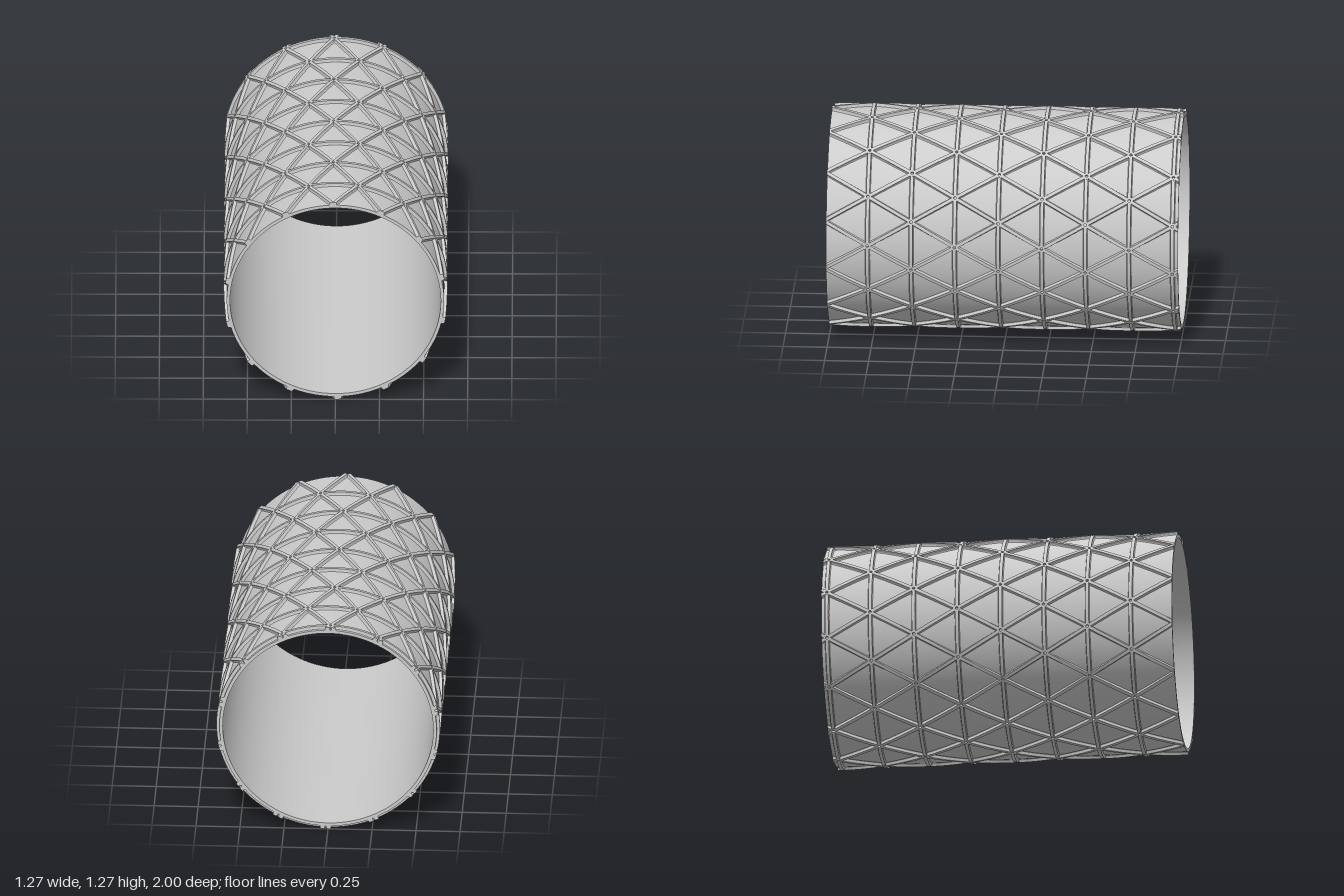
import * as THREE from 'three';
import { mergeGeometries, toCreasedNormals } from 'three/addons/utils/BufferGeometryUtils.js';

const R = 0.635;        // outer radius, top of ribs
const FLOOR = 0.617;    // outer radius of the skin
const INNER = 0.598;    // bore radius
const COUNT = 14;       // nodes around each ring
const STEP = (Math.PI * 2) / COUNT;
const PITCH = 0.2475;   // distance between rings
const START = 1.012;    // z of the first (cut off) node row
const ROWS = 8;
const OFFSET = -0.021;  // angle of the first node, measured from the top
const TRIM = 0.011;     // ribs stop here, inside the hubs

// Rib cross-section: offset across the rib, radius; filleted foot
const PROFILE = [
  [-0.015, FLOOR - 0.002], [-0.0105, FLOOR + 0.004], [-0.0095, R],
  [0.0095, R], [0.0105, FLOOR + 0.004], [0.015, FLOOR - 0.002],
];

const rowZ = (k) => START - PITCH * k;
const nodeAngle = (k, i) => OFFSET + STEP * (i + (k % 2) / 2);

// Sweep the rib section over the cylinder; place(t, s) returns [angle, z]
function rib(place, steps) {
  const pos = [], index = [], n = PROFILE.length;
  for (let j = 0; j <= steps; j++) {
    for (const [s, r] of PROFILE) {
      const [a, z] = place(j / steps, s);
      pos.push(r * Math.sin(a), r * Math.cos(a), z);
    }
  }
  for (let j = 0; j < steps; j++) {
    for (let i = 0; i < n - 1; i++) {
      const a = j * n + i, b = a + 1, c = a + n, d = c + 1;
      index.push(a, b, c, b, d, c);
    }
  }
  const e = steps * n;
  for (let i = 1; i < n - 1; i++) {
    index.push(0, i + 1, i, e, e + i, e + i + 1);
  }
  const g = new THREE.BufferGeometry();
  g.setAttribute('position', new THREE.Float32BufferAttribute(pos, 3));
  g.setIndex(index);
  return toCreasedNormals(g, 0.4);
}

// Ring rib between two neighbouring nodes
function ringRib(k, i) {
  const a0 = nodeAngle(k, i) + TRIM / R;
  const sweep = STEP - (2 * TRIM) / R;
  return rib((t, s) => [a0 + sweep * t, rowZ(k) + s], 6);
}

// Helical rib from a node to the next row, cut square at the tube ends
function diagonalRib(k, i, dir) {
  const zA = Math.min(1, rowZ(k) - TRIM);
  const zB = Math.max(-1, rowZ(k + 1) + TRIM);
  const widen = 1 / (Math.cos(Math.PI / 6) * R);
  return rib((t, s) => {
    const z = zA + (zB - zA) * t;
    const a = nodeAngle(k, i) + (dir * STEP / 2) * (rowZ(k) - z) / PITCH;
    return [a + s * widen, z];
  }, 6);
}

// Small bored hub where six ribs meet
function hub(k, i) {
  const pts = [[0.008, FLOOR - 0.002], [0.024, FLOOR - 0.002], [0.0205, FLOOR + 0.004],
    [0.02, R], [0.008, R], [0.008, FLOOR - 0.002]].map(([x, y]) => new THREE.Vector2(x, y));
  const g = toCreasedNormals(new THREE.LatheGeometry(pts, 16), 0.5);
  g.rotateZ(-nodeAngle(k, i));
  g.translate(0, 0, rowZ(k));
  return g;
}

export function createModel() {
  const model = new THREE.Group();
  model.name = 'isogridTube';
  const material = new THREE.MeshStandardMaterial({ color: 0xcccccc });
  const add = (name, geometry) => {
    const mesh = new THREE.Mesh(geometry, material);
    mesh.name = name;
    mesh.position.y = R;
    model.add(mesh);
  };

  // Thin-walled skin, axis along z
  const wall = [[INNER, -1], [FLOOR, -1], [FLOOR, 1], [INNER, 1], [INNER, -1]]
    .map(([x, y]) => new THREE.Vector2(x, y));
  const skin = toCreasedNormals(new THREE.LatheGeometry(wall, 112), 0.5);
  skin.rotateX(Math.PI / 2);
  add('tubeWall', skin);

  // Triangular rib grid
  const rings = [], left = [], right = [], hubs = [];
  for (let k = 0; k <= ROWS; k++) {
    for (let i = 0; i < COUNT; i++) {
      left.push(diagonalRib(k, i, 1));
      right.push(diagonalRib(k, i, -1));
      if (k > 0) {
        rings.push(ringRib(k, i));
        hubs.push(hub(k, i));
      }
    }
  }
  add('ringRibs', mergeGeometries(rings));
  add('leftHelixRibs', mergeGeometries(left));
  add('rightHelixRibs', mergeGeometries(right));
  add('nodeHubs', mergeGeometries(hubs));
  return model;
}
